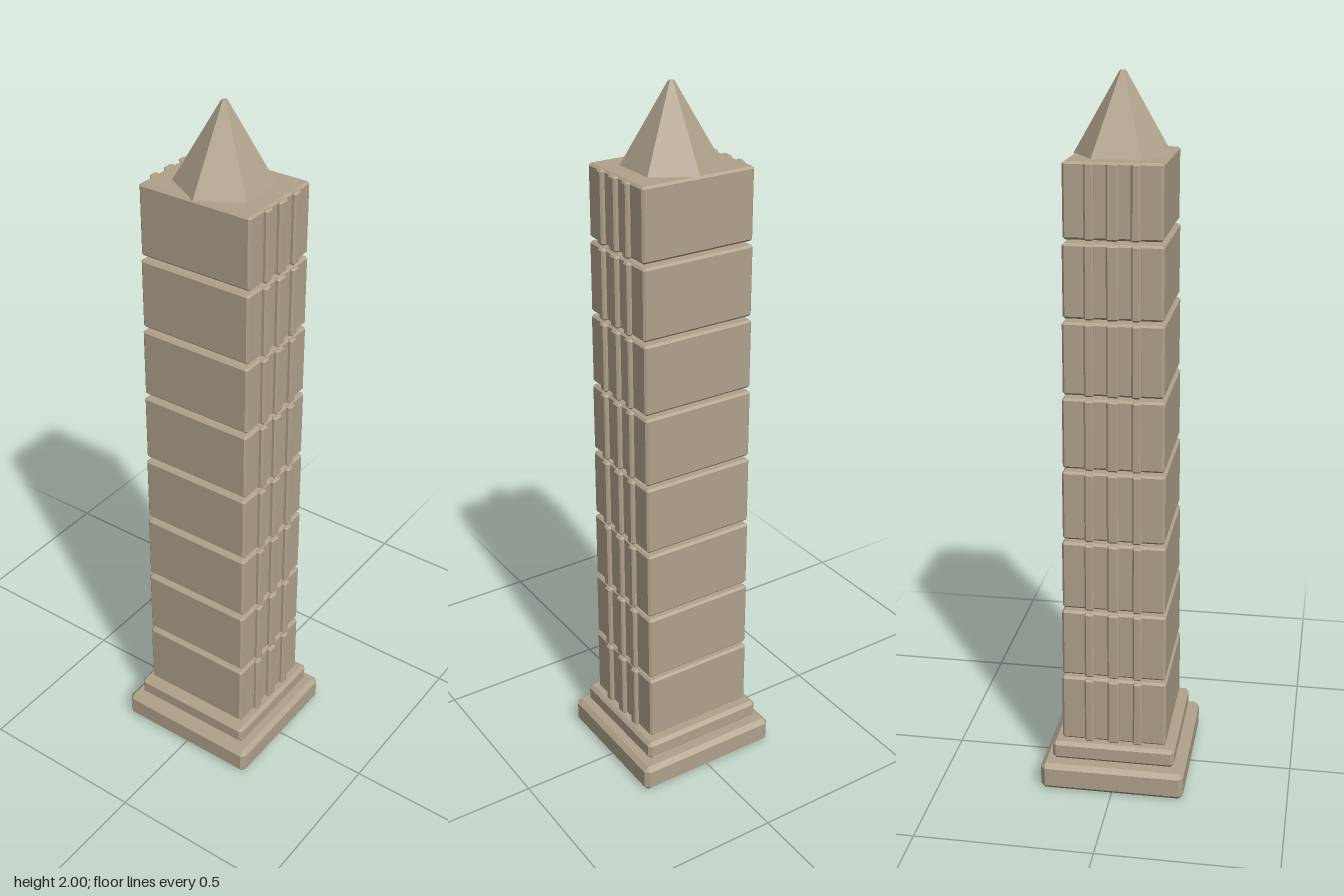
import * as THREE from 'three';
import { ConvexGeometry } from 'three/addons/geometries/ConvexGeometry.js';

const stone = new THREE.MeshStandardMaterial({ color: 0xb0a38c });
stone.name = 'sandstone';

// Box with all edges and corners cut by a flat chamfer c
function chamferBox(w, h, d, c) {
  const half = [w / 2, h / 2, d / 2];
  const points = [];
  for (const sx of [-1, 1]) for (const sy of [-1, 1]) for (const sz of [-1, 1]) {
    const signs = [sx, sy, sz];
    for (let axis = 0; axis < 3; axis++) {
      points.push(new THREE.Vector3(...half.map((v, i) => signs[i] * (i === axis ? v : v - c))));
    }
  }
  return new ConvexGeometry(points);
}

function addBlock(parent, name, [w, h, d], c, [x, y, z]) {
  const mesh = new THREE.Mesh(chamferBox(w, h, d, c), stone);
  mesh.name = name;
  mesh.position.set(x, y, z);
  parent.add(mesh);
}

export function createModel() {
  const model = new THREE.Group();
  model.name = 'obelisk';

  // Stepped plinth
  addBlock(model, 'plinthLower', [0.412, 0.08, 0.439], 0.013, [0, 0.04, 0]);
  addBlock(model, 'plinthUpper', [0.352, 0.055, 0.38], 0.01, [0, 0.1125, 0]);

  // Tapering stack of blocks, ribbed on front and back
  const courses = 8, height = 0.197, pitch = 0.2069;
  for (let i = 0; i < courses; i++) {
    const course = new THREE.Group();
    course.name = `course${i + 1}`;
    course.position.y = 0.144 + height / 2 + i * pitch;
    model.add(course);

    const width = THREE.MathUtils.lerp(0.298, 0.26, i / (courses - 1));
    addBlock(course, 'block', [width, height, 0.336], 0.006, [0, 0, 0]);
    for (const z of [-0.171, 0.171]) {
      for (const side of [-1, 0, 1]) {
        const ribWidth = side ? 0.026 : 0.033;
        addBlock(course, 'rib', [ribWidth, height, 0.018], 0.005, [side * width * 0.232, 0, z]);
      }
    }
  }

  // Six-sided pointed cap with a tiny flat tip
  const cone = new THREE.CylinderGeometry(0.008, 0.131, 0.212, 6, 1, false, Math.PI / 2).toNonIndexed();
  cone.computeVertexNormals();
  const cap = new THREE.Mesh(cone, stone);
  cap.name = 'cap';
  cap.position.y = 2 - 0.106;
  model.add(cap);

  return model;
}
